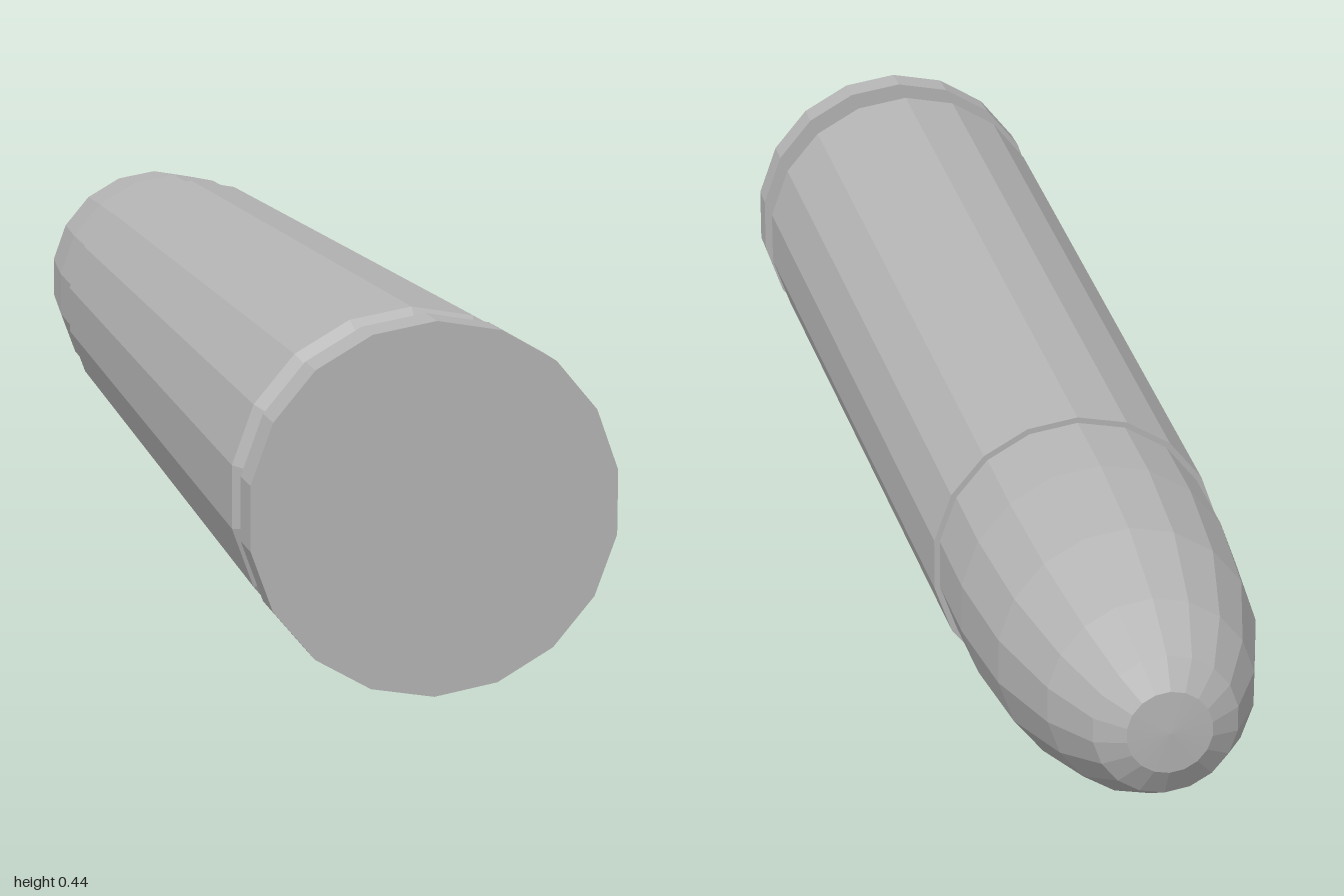
import * as THREE from 'three';

const SIDES = 18;
const AXIS_Y = 0.221;

export function createModel() {
  const group = new THREE.Group();
  const grey = new THREE.MeshStandardMaterial({ color: 0xb4b4b4 });
  grey.name = 'grey metal';

  // Turned part along z, given as [radius, z] pairs from front to back, with faceted sides
  function turned(name, profile) {
    const points = profile.map(([r, z]) => new THREE.Vector2(r, -z));
    const geometry = new THREE.LatheGeometry(points, SIDES).toNonIndexed();
    geometry.rotateX(-Math.PI / 2);
    geometry.translate(0, AXIS_Y, 0);
    geometry.computeVertexNormals();
    const mesh = new THREE.Mesh(geometry, grey);
    mesh.name = name;
    group.add(mesh);
  }

  // Flat base disc with its rim
  turned('rim', [[0, 1], [0.221, 1], [0.221, 0.945], [0.182, 0.945]]);

  // Narrow groove behind the rim
  turned('groove', [[0.182, 0.945], [0.182, 0.9]]);

  // Tapered case with a bevelled shoulder and a small lip at the mouth
  turned('case', [[0.182, 0.9], [0.205, 0.895], [0.218, 0.88], [0.188, -0.458], [0.18, -0.458]]);

  // Rounded nose
  turned('nose', [
    [0.181, -0.44], [0.178, -0.6], [0.162, -0.765], [0.127, -0.897],
    [0.088, -0.975], [0.052, -0.997], [0, -1],
  ]);

  return group;
}
